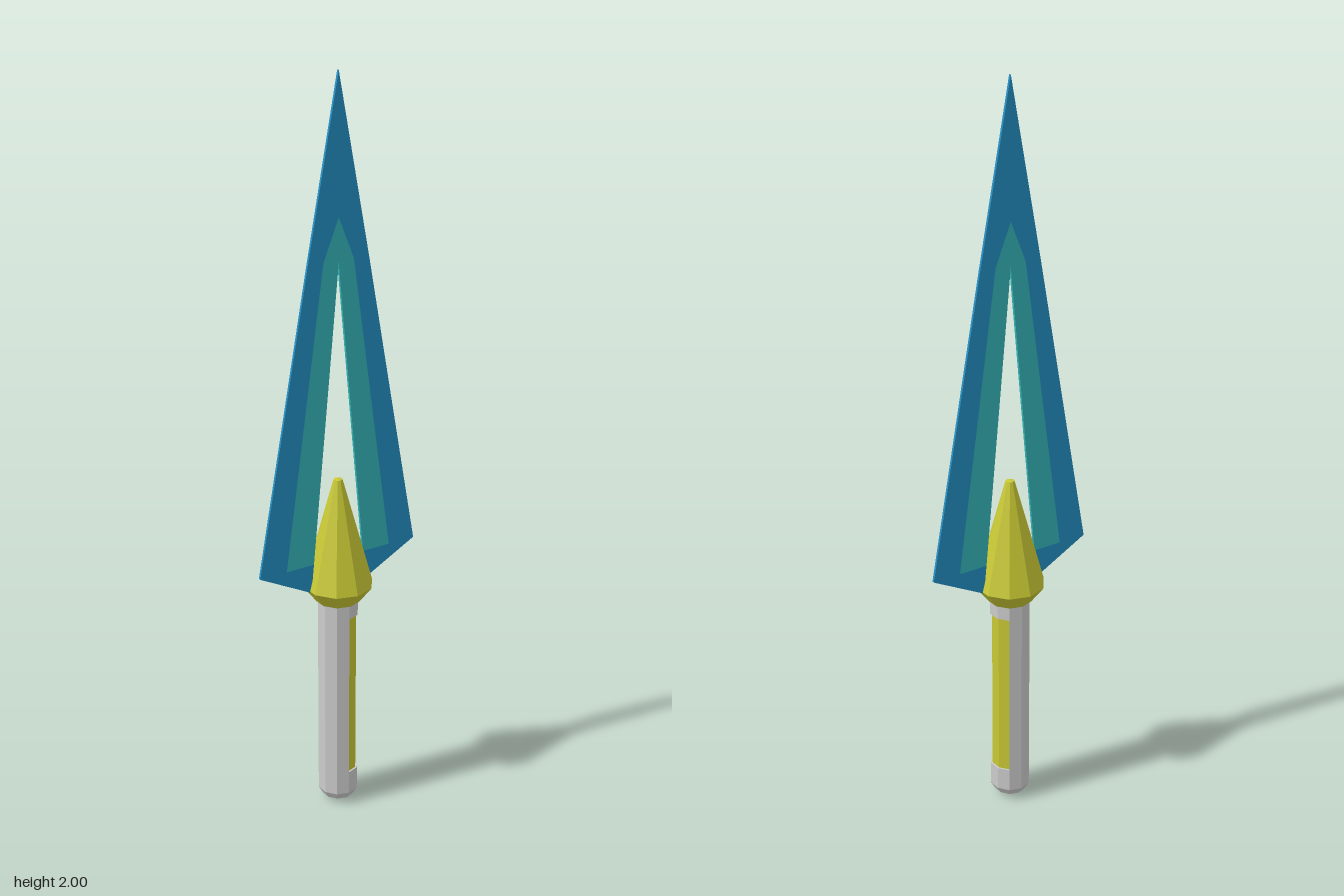
import * as THREE from 'three';

const SIDES = 10;
const STEP = (Math.PI * 2) / SIDES;
const INLAY_FACES = 4; // handle facets covered by the coloured inlay
const R = 0.055;       // handle radius

const flat = (color) => new THREE.MeshStandardMaterial({ color, flatShading: true });

function addMesh(parent, name, geometry, material) {
  const mesh = new THREE.Mesh(geometry, material);
  mesh.name = name;
  parent.add(mesh);
  return mesh;
}

// Ten-sided turned solid from [radius, height] pairs, bottom to top
const turned = (profile) =>
  new THREE.LatheGeometry(profile.map(([r, y]) => new THREE.Vector2(r, y)), SIDES);

// Plate mirrored about x = 0; the outline runs along the +x half
// and its first and last points lie on the axis
function mirroredPlate(half, depth) {
  const right = half.map(([x, y]) => new THREE.Vector2(x, y));
  const left = half.slice(1, -1).reverse().map(([x, y]) => new THREE.Vector2(-x, y));
  // outer half, inner apex, then the other half back to the tip
  const geometry = new THREE.ExtrudeGeometry(new THREE.Shape([...right, ...left]), {
    depth, bevelEnabled: false,
  });
  return geometry.translate(0, 0, -depth / 2);
}

export function createModel() {
  const model = new THREE.Group();
  model.name = 'dagger';
  const grey = flat(0xcccccc);
  const yellow = flat(0xc8c835);
  const blue = flat(0x2590c4);
  const teal = flat(0x35b6ba);

  // Handle ends
  const handle = new THREE.Group();
  handle.name = 'handle';
  model.add(handle);
  addMesh(handle, 'pommel',
    turned([[0, 0], [0.043, 0.014], [R, 0.035], [R, 0.1], [0, 0.1]]), grey);
  addMesh(handle, 'collar',
    turned([[0, 0.57], [R, 0.57], [R, 0.615], [0, 0.615]]), grey);

  // Grip: facets under the inlay are sunk
  const section = [];
  const addPoint = (i, r) =>
    section.push(new THREE.Vector2(r * Math.sin(i * STEP), -r * Math.cos(i * STEP)));
  for (let i = INLAY_FACES; i <= SIDES; i++) addPoint(i, R);
  for (let i = 0; i <= INLAY_FACES; i++) addPoint(i, 0.046);
  const grip = new THREE.ExtrudeGeometry(new THREE.Shape(section), {
    depth: 0.47, bevelEnabled: false,
  });
  grip.rotateX(-Math.PI / 2).translate(0, 0.1, 0);
  addMesh(handle, 'grip', grip, grey);

  // Coloured inlay in the recess
  const inlay = new THREE.CylinderGeometry(
    0.05, 0.05, 0.47, INLAY_FACES, 1, true, 0, INLAY_FACES * STEP);
  addMesh(handle, 'gripInlay', inlay.translate(0, 0.335, 0), yellow);

  // Faceted spike guard
  addMesh(model, 'guardSpike',
    turned([[0, 0.61], [0.06, 0.61], [0.094, 0.655], [0.012, 0.953], [0, 0.955]]), yellow);

  // Flat blade: outer edge and inner band with a central slot
  const blade = new THREE.Group();
  blade.name = 'blade';
  model.add(blade);
  const depth = 0.007;
  addMesh(blade, 'bladeEdge', mirroredPlate([
    [0, 2], [0.091, 1.53], [0.24, 0.73], [0.085, 0.65],
    [0.077, 0.73], [0.16, 0.73], [0.045, 1.535], [0, 1.645],
  ], depth), blue);
  addMesh(blade, 'bladeBand', mirroredPlate([
    [0, 1.645], [0.045, 1.535], [0.16, 0.73], [0.077, 0.73], [0, 1.53],
  ], depth), teal);

  return model;
}
